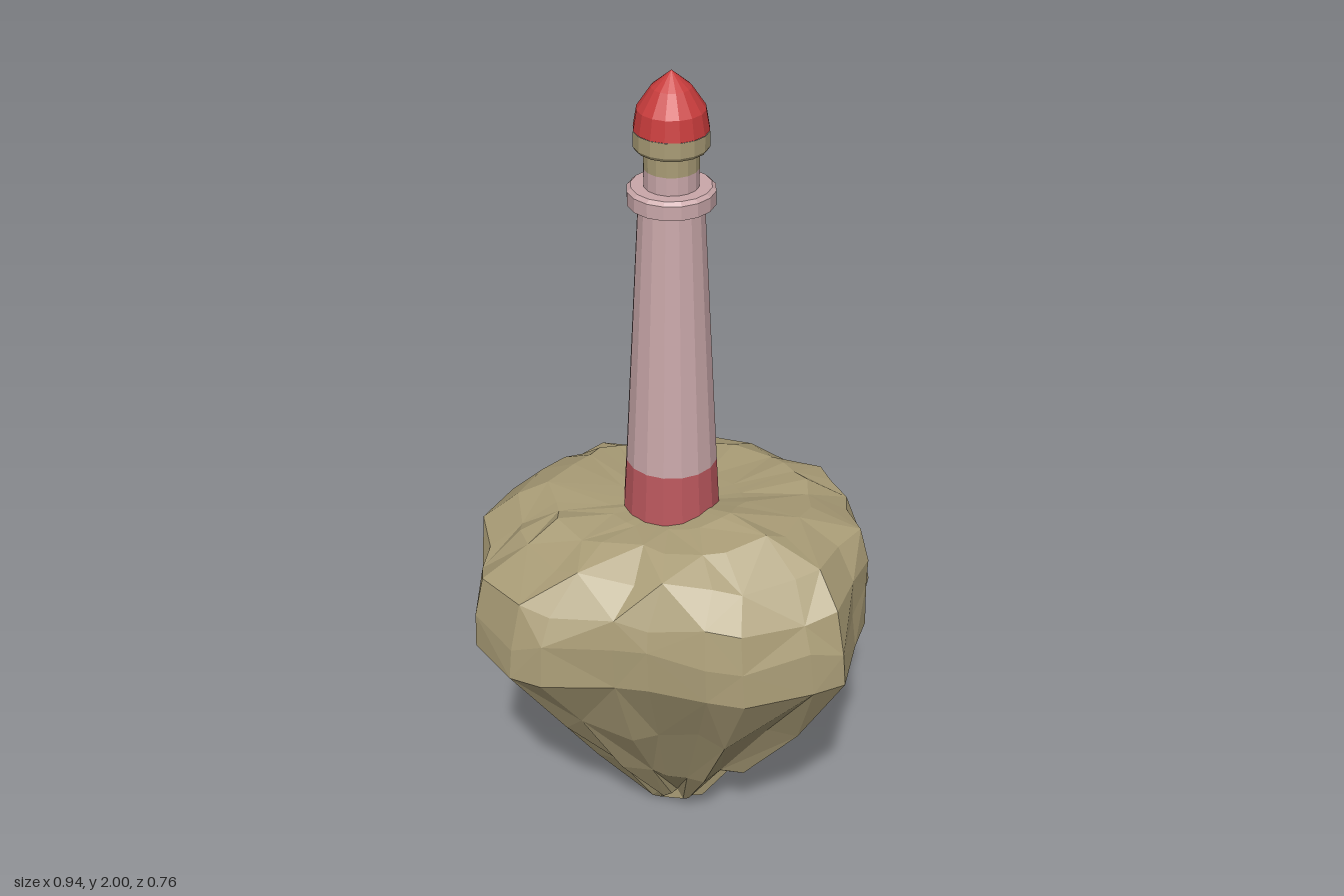
import * as THREE from 'three';

const rock = new THREE.MeshStandardMaterial({ color: 0xa99c76 });
const paleWall = new THREE.MeshStandardMaterial({ color: 0xcaa8aa });
const bandRed = new THREE.MeshStandardMaterial({ color: 0xbc585e });
const roofRed = new THREE.MeshStandardMaterial({ color: 0xc83c3c });
rock.name = 'sandyRock';
paleWall.name = 'palePinkWall';
bandRed.name = 'fadedRed';
roofRed.name = 'roofRed';
for (const m of [rock, paleWall, bandRed, roofRed]) m.flatShading = true;

// Plan outline of the island (x, z), running from +x through the front
const OUTLINE = [
  [0.475, 0], [0.46, 0.1], [0.455, 0.255], [0.38, 0.3], [0.23, 0.38], [0.14, 0.375], [0, 0.355],
  [-0.08, 0.358], [-0.25, 0.382], [-0.33, 0.36], [-0.445, 0.25], [-0.455, 0.17], [-0.45, 0.11],
  [-0.477, -0.005], [-0.455, -0.15], [-0.44, -0.255], [-0.39, -0.31], [-0.325, -0.348],
  [-0.2, -0.345], [0, -0.38], [0.14, -0.385], [0.31, -0.355], [0.38, -0.31], [0.425, -0.255],
  [0.46, -0.19], [0.46, -0.1],
];

// Cross-sections: height, scale, centre x, centre z, height jitter, width jitter, corner rounding
const RINGS = [
  [0.04, 0.13, 0.015, -0.01, 0.02, 0.02, 0],
  [0.2, 0.4, 0.005, -0.005, 0.02, 0.03, 0],
  [0.42, 0.7, 0.005, -0.005, 0.03, 0.025, 0],
  [0.62, 0.985, 0.003, 0, 0, 0.012, 0],
  [0.71, 0.99, 0, 0, 0.025, 0.012, 0.025],
  [0.79, 0.985, 0, -0.008, 0.025, 0.014, 0.07],
  [0.872, 0.87, 0.025, -0.025, 0.014, 0.02, 0.1],
  [0.912, 0.67, 0.015, -0.035, 0.006, 0.02, 0.08],
  [0.917, 0.34, 0.01, 0, 0.003, 0.01, 0.03],
];

function seeded(seed) {
  return () => {
    seed = (seed * 16807) % 2147483647;
    return (seed / 2147483647) * 2 - 1;
  };
}

// Floating island: lofted rings, closed by a notched tip and a gently raised top
function islandGeometry() {
  const rand = seeded(4217);
  const n = OUTLINE.length;
  const pos = [];
  const index = [];
  const knoll = (x, z) => 0.04 * Math.exp(-((x - 0.19) ** 2 + (z - 0.1) ** 2) / 0.012);
  RINGS.forEach(([y, s, cx, cz, jy, js, round], r) => {
    OUTLINE.forEach(([ox, oz], i) => {
      // downward folds in the lower cone, rounded corners above the waist
      const fold = r < 3 ? (i % 3 === 0 ? -0.03 : 0.01) : 0;
      const corner = Math.min(1, Math.abs(ox * oz) / 0.11);
      const k = s + fold + rand() * js - round * corner;
      const x = ox * k + cx;
      const z = oz * k + cz;
      // notch between the two points of the tip
      const notch = r === 0 && (i === 2 || i === 3) ? 0.1 : 0;
      pos.push(x, y + rand() * jy + notch + (r > 6 ? knoll(x, z) : 0), z);
    });
  });
  for (let r = 0; r < RINGS.length - 1; r++) {
    for (let i = 0; i < n; i++) {
      const a = r * n + i;
      const b = r * n + ((i + 1) % n);
      const c = a + n;
      const d = b + n;
      if ((i + r) % 2) index.push(a, c, b, b, c, d);
      else index.push(a, c, d, a, d, b);
    }
  }
  const top = pos.length / 3;
  pos.push(0, 0.918, 0, -0.03, 0.0, 0.0);
  const last = (RINGS.length - 1) * n;
  for (let i = 0; i < n; i++) {
    const j = (i + 1) % n;
    index.push(last + i, top, last + j);
    index.push(top + 1, i, j);
  }
  const geo = new THREE.BufferGeometry();
  geo.setAttribute('position', new THREE.Float32BufferAttribute(pos, 3));
  geo.setIndex(index);
  const flat = geo.toNonIndexed();
  flat.computeVertexNormals();
  return flat;
}

function addLathe(group, name, material, points) {
  const profile = points.map(([x, y]) => new THREE.Vector2(x, y));
  const mesh = new THREE.Mesh(new THREE.LatheGeometry(profile, 16), material);
  mesh.name = name;
  group.add(mesh);
}

export function createModel() {
  const model = new THREE.Group();
  model.name = 'lighthouseIsland';

  const island = new THREE.Mesh(islandGeometry(), rock);
  island.name = 'island';
  model.add(island);

  // Lighthouse, from the ground up
  const tower = new THREE.Group();
  tower.name = 'lighthouse';
  tower.position.set(-0.004, 0, -0.005);
  addLathe(tower, 'baseBand', bandRed, [[0, 0.88], [0.116, 0.88], [0.107, 1.045]]);
  addLathe(tower, 'towerWall', paleWall, [[0.107, 1.045], [0.075, 1.69]]);
  addLathe(tower, 'galleryRing', paleWall,
    [[0.075, 1.69], [0.099, 1.695], [0.099, 1.728], [0.09, 1.736], [0.06, 1.736]]);
  addLathe(tower, 'lanternFoot', paleWall, [[0.062, 1.73], [0.062, 1.778]]);
  addLathe(tower, 'lanternRoom', rock,
    [[0.062, 1.778], [0.062, 1.822], [0.08, 1.824], [0.085, 1.832], [0.085, 1.868]]);
  addLathe(tower, 'domeRoof', roofRed,
    [[0.084, 1.868], [0.076, 1.915], [0.044, 1.963], [0, 2]]);
  model.add(tower);

  return model;
}
